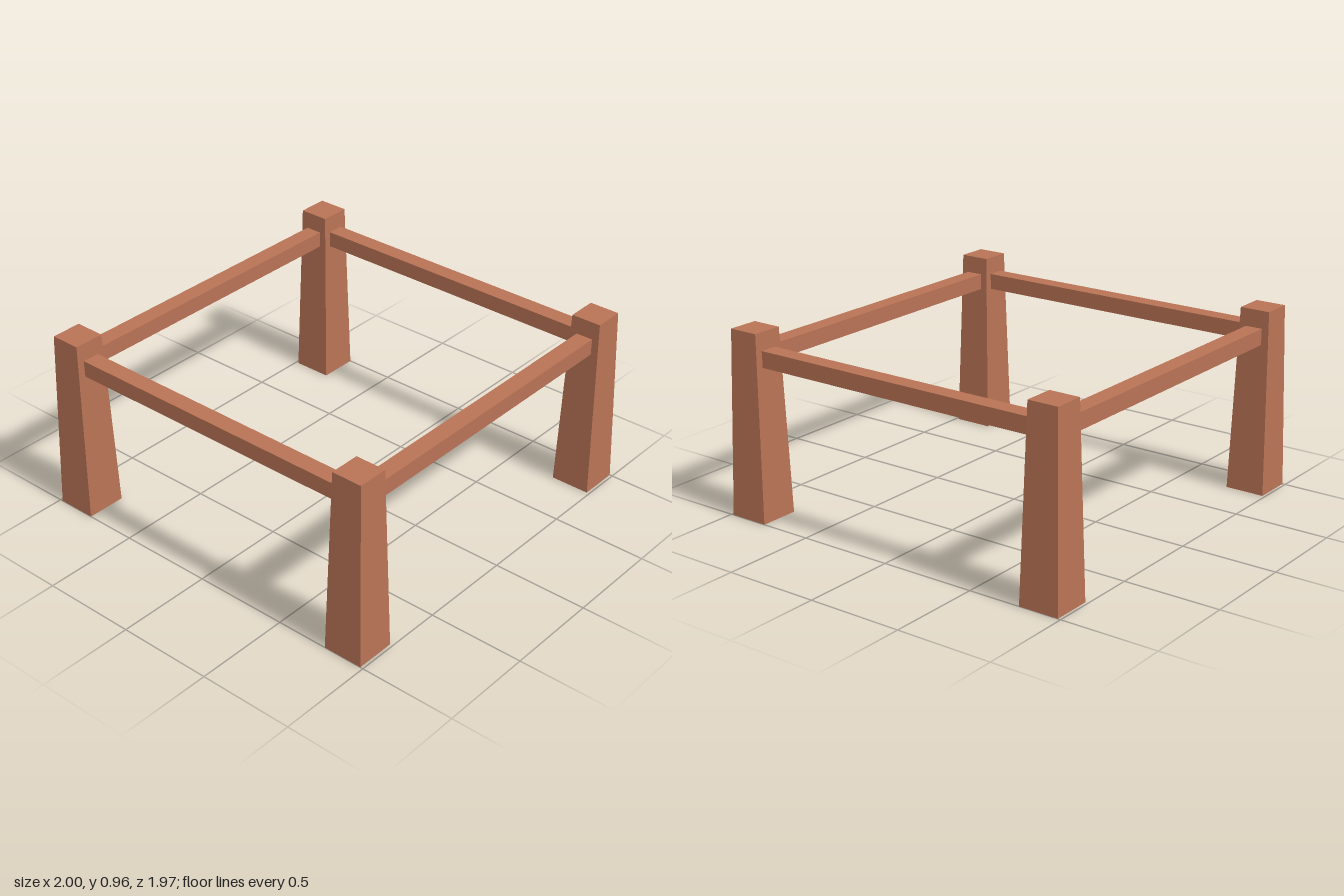
import * as THREE from 'three';

const POST_X = 0.895, POST_Z = 0.88, HEIGHT = 0.96;
const BASE = 0.21, TOP = 0.16;
const RAIL_Y = 0.827, RAIL_H = 0.084, RAIL_W = 0.09;

// Square post narrowing evenly from base to top
function postGeometry() {
  const geometry = new THREE.BoxGeometry(BASE, HEIGHT, BASE);
  geometry.translate(0, HEIGHT / 2, 0);
  const p = geometry.attributes.position;
  for (let i = 0; i < p.count; i++) {
    const k = p.getY(i) > HEIGHT / 2 ? TOP / BASE : 1;
    p.setX(i, p.getX(i) * k);
    p.setZ(i, p.getZ(i) * k);
  }
  geometry.computeVertexNormals();
  return geometry;
}

export function createModel() {
  const group = new THREE.Group();
  const wood = new THREE.MeshStandardMaterial({ color: 0xb87355 });
  wood.name = 'reddish brown wood';

  const add = (name, geometry, x, y, z) => {
    const mesh = new THREE.Mesh(geometry, wood);
    mesh.name = name;
    mesh.position.set(x, y, z);
    group.add(mesh);
  };

  // Four corner posts
  const post = postGeometry();
  for (const sx of [-1, 1]) {
    for (const sz of [-1, 1]) {
      const name = (sz > 0 ? 'front' : 'back') + (sx > 0 ? 'Left' : 'Right') + 'Post';
      add(name, post, sx * POST_X, 0, sz * POST_Z);
    }
  }

  // Rails run between the posts, with their ends just let into them
  const inset = TOP / 2;
  const crossRail = new THREE.BoxGeometry(2 * (POST_X - inset), RAIL_H, RAIL_W);
  const sideRail = new THREE.BoxGeometry(RAIL_W, RAIL_H, 2 * (POST_Z - inset));
  for (const s of [-1, 1]) {
    add(s > 0 ? 'frontRail' : 'backRail', crossRail, 0, RAIL_Y, s * POST_Z);
    add(s > 0 ? 'leftRail' : 'rightRail', sideRail, s * POST_X, RAIL_Y, 0);
  }
  return group;
}
